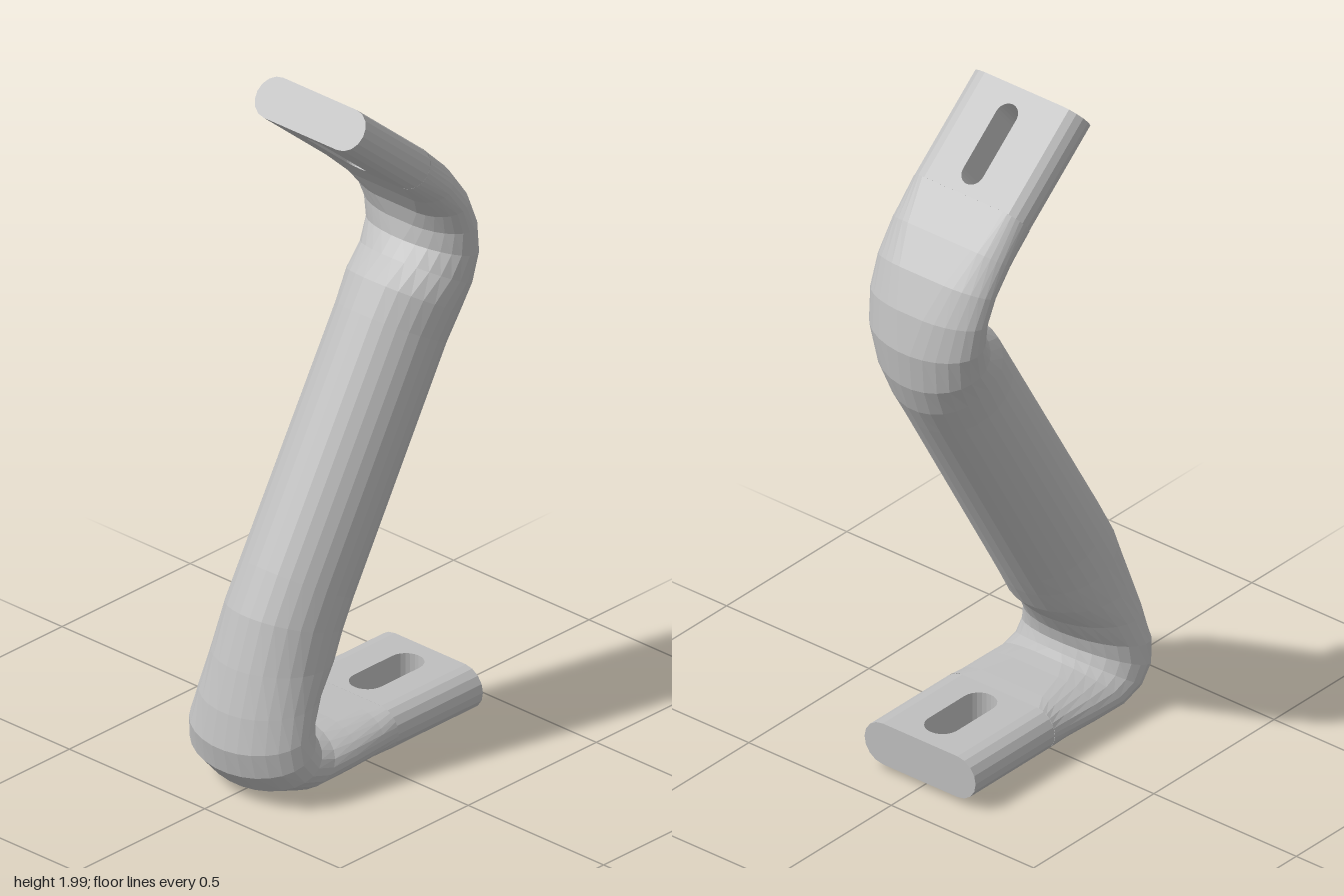
import * as THREE from 'three';

// Stations down the bent tube: [back z, back y, front z, front y, half width]
const STATIONS = [
  [-0.203, 1.788, -0.126, 1.696, 0.195],
  [-0.30, 1.70, -0.20, 1.62, 0.197],
  [-0.375, 1.61, -0.245, 1.555, 0.196],
  [-0.425, 1.51, -0.26, 1.50, 0.193],
  [-0.45, 1.40, -0.25, 1.45, 0.187],
  [-0.44, 1.29, -0.21, 1.41, 0.177],
  [-0.41, 1.205, -0.14, 1.365, 0.168],
  [-0.365, 1.125, -0.09, 1.285, 0.16],
  [0, 0.49, 0.28, 0.65, 0.162],
  [0.035, 0.43, 0.345, 0.53, 0.165],
  [0.075, 0.365, 0.395, 0.39, 0.172],
  [0.14, 0.30, 0.43, 0.27, 0.182],
  [0.18, 0.24, 0.45, 0.17, 0.195],
  [0.19, 0.20, 0.435, 0.095, 0.203],
  [0.18, 0.175, 0.38, 0.035, 0.205],
  [0.155, 0.165, 0.28, 0.005, 0.205],
  [0.10, 0.16, 0.14, 0.013, 0.203],
  [0.0, 0.157, 0.02, 0.022, 0.198],
  [-0.05, 0.155, -0.05, 0.027, 0.195],
];
const SIDES = 28;
const PLATE_LENGTH = 0.33;
const PLATE_HALF_WIDTH = 0.195;

// Loft from flattened ends through a round middle
function tubeGeometry() {
  const positions = [], index = [];
  const last = STATIONS.length - 1;
  STATIONS.forEach(([bz, by, fz, fy, w], i) => {
    const h = Math.hypot(fz - bz, fy - by) / 2;
    const oval = Math.min(1, Math.min(i, last - i) / 4);
    for (let j = 0; j < SIDES; j++) {
      const t = ((j + 0.5) / SIDES) * Math.PI * 2;
      const c = Math.cos(t), s = Math.sin(t);
      const flatX = h * c + Math.sign(c) * (w - h);
      const k = (1 + s) / 2;
      positions.push(
        THREE.MathUtils.lerp(flatX, w * c, oval),
        THREE.MathUtils.lerp(by, fy, k),
        THREE.MathUtils.lerp(bz, fz, k));
      if (i < last) {
        const a = i * SIDES + j, b = i * SIDES + (j + 1) % SIDES;
        index.push(a, b, a + SIDES, b, b + SIDES, a + SIDES);
      }
    }
  });
  const g = new THREE.BufferGeometry();
  g.setAttribute('position', new THREE.Float32BufferAttribute(positions, 3));
  g.setIndex(index);
  g.computeVertexNormals();
  return g;
}

// Slotted plate with rounded long edges, running along its local y
function slottedPlate(name, thickness, slotWidth, origin, direction, material) {
  const plate = new THREE.Group();
  plate.name = name;
  const r = thickness / 2, x = PLATE_HALF_WIDTH - r, L = PLATE_LENGTH;

  const shape = new THREE.Shape();
  shape.moveTo(-x, 0).lineTo(x, 0).lineTo(x, L).lineTo(-x, L).closePath();
  const sr = slotWidth / 2, mid = L - 0.175, reach = 0.125 - sr, cx = 0.005;
  const slot = new THREE.Path();
  slot.absarc(cx, mid + reach, sr, 0, Math.PI, false);
  slot.absarc(cx, mid - reach, sr, Math.PI, Math.PI * 2, false);
  slot.closePath();
  shape.holes.push(slot);
  const web = new THREE.Mesh(
    new THREE.ExtrudeGeometry(shape, { depth: thickness, bevelEnabled: false, curveSegments: 6 })
      .translate(0, 0, -r), material);
  web.name = name + 'Web';
  plate.add(web);

  for (const side of [1, -1]) {
    const edge = new THREE.Mesh(
      new THREE.CylinderGeometry(r, r, L, 8, 1, false, side > 0 ? 0 : Math.PI, Math.PI)
        .translate(side * x, L / 2, 0), material);
    edge.name = name + (side > 0 ? 'LeftEdge' : 'RightEdge');
    plate.add(edge);
  }

  const across = new THREE.Vector3(1, 0, 0);
  const along = direction.clone().normalize();
  const normal = across.clone().cross(along);
  plate.quaternion.setFromRotationMatrix(new THREE.Matrix4().makeBasis(across, along, normal));
  plate.position.copy(origin);
  return plate;
}

export function createModel() {
  const metal = new THREE.MeshStandardMaterial({ color: 0xbfbfbf });
  metal.name = 'grey metal';
  metal.flatShading = true;
  metal.side = THREE.DoubleSide;

  const model = new THREE.Group();
  model.name = 'bentBracket';

  const tube = new THREE.Mesh(tubeGeometry(), metal);
  tube.name = 'bentTube';
  model.add(tube);

  // Mounting plates at both flattened ends
  model.add(slottedPlate('upperPlate', 0.12, 0.07,
    new THREE.Vector3(0, 1.742, -0.1645), new THREE.Vector3(0, 0.643, 0.766), metal));
  model.add(slottedPlate('lowerPlate', 0.128, 0.1,
    new THREE.Vector3(0, 0.091, -0.05), new THREE.Vector3(0, 0, -1), metal));
  return model;
}
